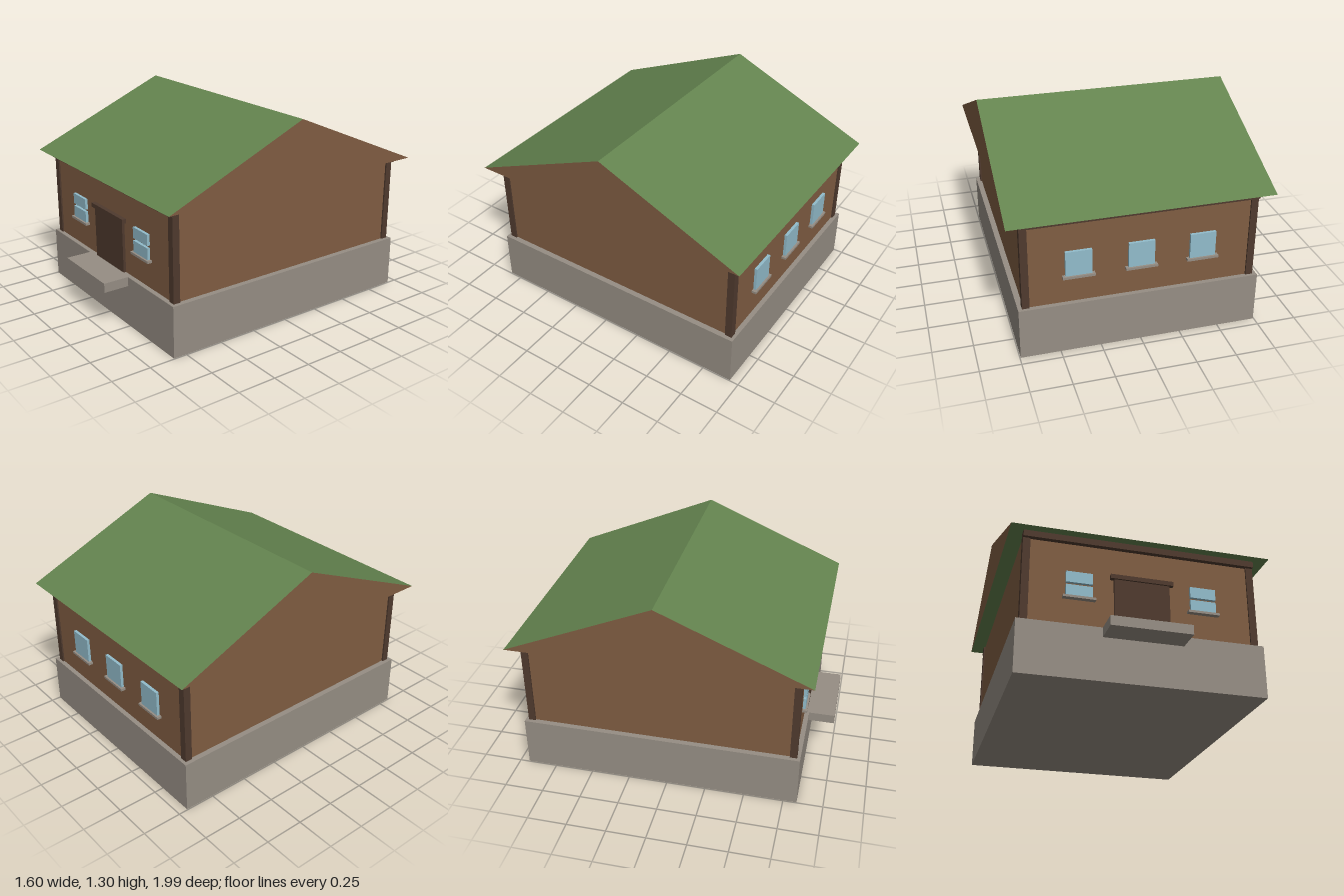
import * as THREE from 'three';

const material = (name, color) => {
  const m = new THREE.MeshStandardMaterial({ color });
  m.name = name;
  return m;
};

export function createModel() {
  const stone = material('stone', 0x968e84);
  const wood = material('wall wood', 0x805d42);
  const trim = material('dark trim', 0x4f3a2e);
  const green = material('roof green', 0x64844f);
  const glass = material('window glass', 0x92bccb);

  const house = new THREE.Group();
  house.name = 'house';

  // Box given by its extents on each axis
  function box(name, mat, x0, x1, y0, y1, z0, z1, parent = house) {
    const mesh = new THREE.Mesh(new THREE.BoxGeometry(x1 - x0, y1 - y0, z1 - z0), mat);
    mesh.position.set((x0 + x1) / 2, (y0 + y1) / 2, (z0 + z1) / 2);
    mesh.name = name;
    parent.add(mesh);
    return mesh;
  }

  // The body is centred slightly behind the origin because of the doorstep
  const zc = -0.0525;
  const floor = 0.33, eaves = 0.905;

  box('foundation', stone, -0.745, 0.745, 0, floor, -0.94, 0.835);
  box('doorstep', stone, -0.243, 0.243, 0.27, floor, 0.835, 1);
  box('walls', wood, -0.71, 0.71, floor, eaves, -0.91, 0.805);

  // Corner posts and eaves beams
  for (const side of [-1, 1]) {
    for (const end of [-1, 1]) {
      const post = box('cornerPost', trim, -0.0225, 0.0225, floor, eaves, -0.0225, 0.0225);
      post.position.x = side * 0.6975;
      post.position.z = zc + end * 0.845;
    }
    const beam = box('eavesBeam', trim, -0.72, 0.72, 0.865, eaves, -0.015, 0.015);
    beam.position.z = zc + side * 0.8725;
  }

  // Door with lintel
  box('door', trim, -0.17, 0.17, floor, 0.66, 0.8, 0.822);
  box('doorLintel', trim, -0.193, 0.193, 0.66, 0.688, 0.8, 0.833);

  // Windows: front ones have two panes, rear ones a single pane
  function addWindow(x, back, panes) {
    const win = new THREE.Group();
    win.name = back ? 'rearWindow' : 'frontWindow';
    for (const [y0, y1] of panes) box('pane', glass, -0.08, 0.08, y0, y1, 0, 0.018, win);
    box('windowSill', stone, -0.098, 0.098, 0.5, 0.515, 0, 0.03, win);
    win.position.set(x, 0, back ? -0.91 : 0.805);
    if (back) win.rotation.y = Math.PI;
    house.add(win);
  }
  for (const x of [-0.38, 0.38]) addWindow(x, false, [[0.515, 0.589], [0.604, 0.675]]);
  for (const x of [-0.38, 0, 0.38]) addWindow(x, true, [[0.515, 0.675]]);

  // Gable roof: triangular prism along x, wooden end caps and green slopes
  const profile = new THREE.Shape([
    new THREE.Vector2(-0.89, eaves),
    new THREE.Vector2(0.99, eaves),
    new THREE.Vector2(0.05, 1.305),
  ]);
  const roofGeo = new THREE.ExtrudeGeometry(profile, { depth: 1.604, bevelEnabled: false });
  roofGeo.translate(0, 0, -0.802);
  roofGeo.rotateY(Math.PI / 2);
  const roof = new THREE.Mesh(roofGeo, [wood, green]);
  roof.name = 'roof';
  house.add(roof);

  return house;
}
